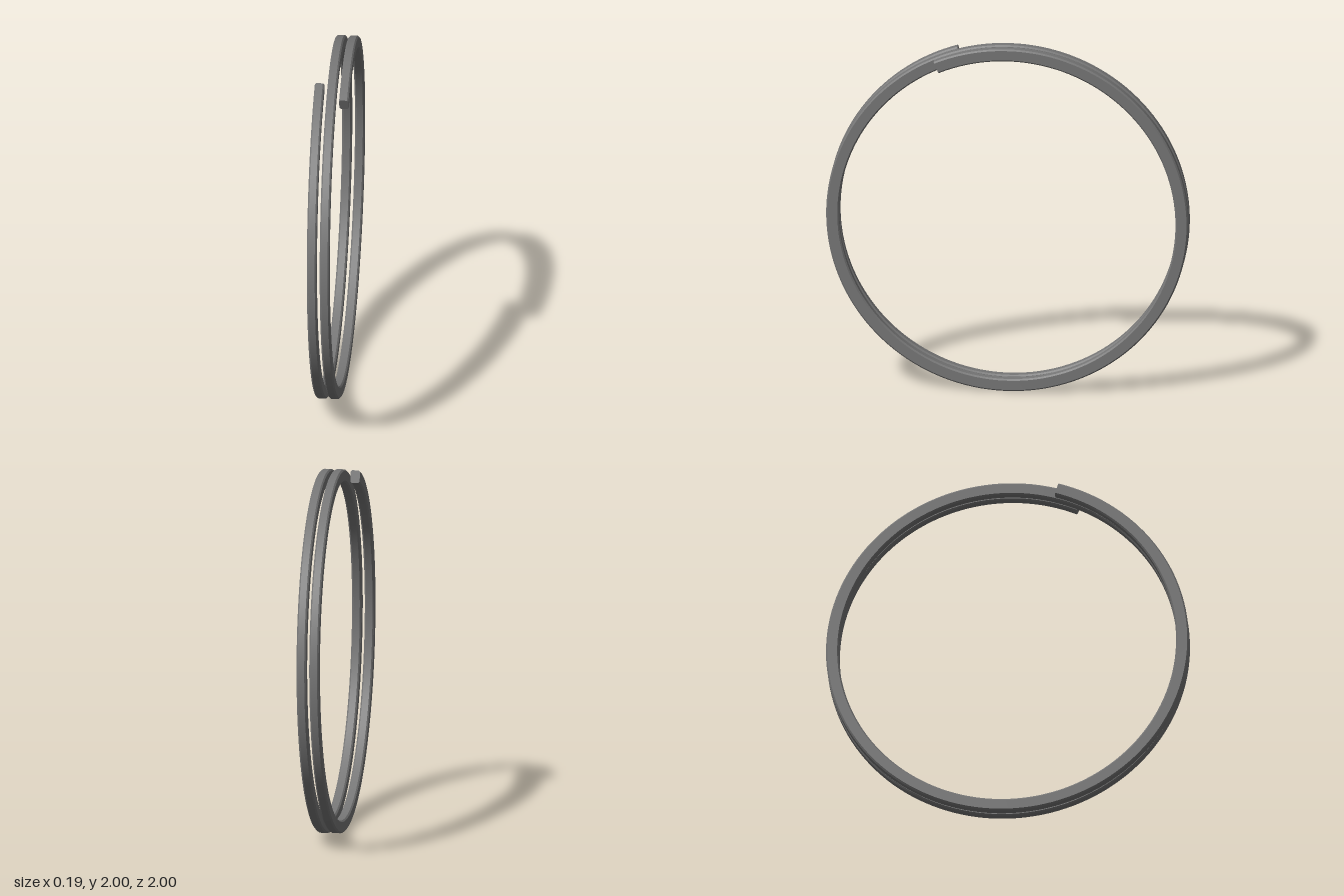
import * as THREE from 'three';

const START = THREE.MathUtils.degToRad(16.5); // angle from the top towards the front
const END = THREE.MathUtils.degToRad(720 + 23.7);
const HALF_TRAVEL = 0.0715; // sideways drift of the wire centre
const STEPS = 288;

// Bevelled rectangular wire section: [sideways offset, radius], counter-clockwise
function wireSection(halfWidth, inner, outer, b) {
  return [
    [-halfWidth + b, inner], [halfWidth - b, inner],
    [halfWidth, inner + b], [halfWidth, outer - b],
    [halfWidth - b, outer], [-halfWidth + b, outer],
    [-halfWidth, outer - b], [-halfWidth, inner + b],
  ];
}

// Point of the section at fraction t along the helix around the x axis
function helixPoint([dx, r], t) {
  const a = START + (END - START) * t;
  return [-HALF_TRAVEL + 2 * HALF_TRAVEL * t + dx, 1 + r * Math.cos(a), r * Math.sin(a)];
}

function coilGeometry(section) {
  const pos = [], index = [];
  const n = section.length;
  // Each side is its own strip: smooth along the wire, sharp across it
  for (let j = 0; j < n; j++) {
    const base = pos.length / 3;
    for (let i = 0; i <= STEPS; i++) {
      pos.push(...helixPoint(section[j], i / STEPS), ...helixPoint(section[(j + 1) % n], i / STEPS));
      if (i < STEPS) {
        const k = base + i * 2;
        index.push(k, k + 1, k + 3, k, k + 3, k + 2);
      }
    }
  }
  // Flat cut ends
  for (const t of [0, 1]) {
    const base = pos.length / 3;
    section.forEach((p) => pos.push(...helixPoint(p, t)));
    for (let j = 1; j < n - 1; j++) {
      if (t) index.push(base, base + j, base + j + 1);
      else index.push(base, base + j + 1, base + j);
    }
  }
  const geo = new THREE.BufferGeometry();
  geo.setAttribute('position', new THREE.Float32BufferAttribute(pos, 3));
  geo.setIndex(index);
  geo.computeVertexNormals();
  return geo;
}

export function createModel() {
  const group = new THREE.Group();
  group.name = 'splitRing';
  const steel = new THREE.MeshStandardMaterial({ color: 0x777777 });
  steel.name = 'grey steel';
  const coil = new THREE.Mesh(coilGeometry(wireSection(0.026, 0.93, 1, 0.008)), steel);
  coil.name = 'coiledWire';
  group.add(coil);
  return group;
}
